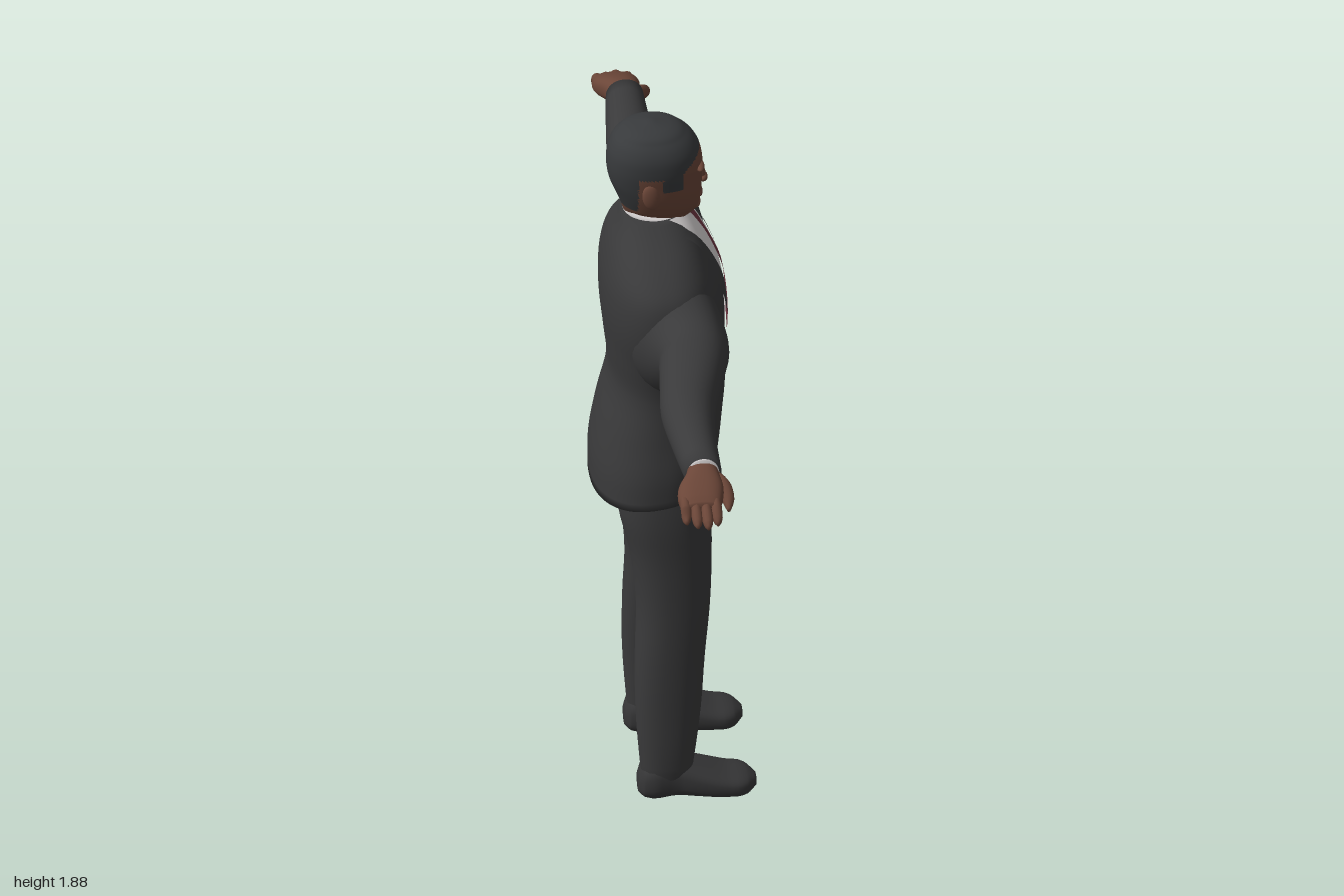
import * as THREE from 'three';

const mat = (name, color) => {
  const m = new THREE.MeshStandardMaterial({ color });
  m.name = name;
  return m;
};

// Smooth interpolation of cross-section rows [w, u0, u1, v0, v1]
function sampler(keys) {
  const c = new THREE.CubicInterpolant(
    new Float32Array(keys.map(k => k[0])), new Float32Array(keys.flatMap(k => k.slice(1))), 4);
  return w => Array.from(c.evaluate(w));
}

// Skin of superellipse rings stacked along an axis; u and v are the next two axes in cyclic order
function loft(keys, axis, { n = 2, seg = 32, sub = 4, side = 1, warp } = {}) {
  const at = sampler(keys), W = 'xyz'.indexOf(axis), U = (W + 1) % 3, V = (W + 2) % 3;
  const pos = [], idx = [];
  const put = (u, v, w) => {
    const p = [0, 0, 0];
    p[U] = u; p[V] = v; p[W] = w;
    if (warp) warp(p);
    pos.push(p[0], p[1], p[2] * side);
  };
  const tri = (a, b, c) => (side > 0 ? idx.push(a, b, c) : idx.push(a, c, b));
  const levels = [];
  keys.forEach((k, i) => {
    if (i) for (let s = 1; s <= sub; s++) levels.push(keys[i - 1][0] + (k[0] - keys[i - 1][0]) * s / sub);
    else levels.push(k[0]);
  });
  const bend = c => Math.sign(c) * Math.abs(c) ** (2 / n);
  for (const w of levels) {
    const [u0, u1, v0, v1] = at(w);
    for (let j = 0; j < seg; j++) {
      const t = j / seg * Math.PI * 2;
      put((u0 + u1) / 2 + (u1 - u0) / 2 * bend(Math.cos(t)),
        (v0 + v1) / 2 + (v1 - v0) / 2 * bend(Math.sin(t)), w);
    }
  }
  const last = levels.length - 1;
  for (let i = 0; i < last; i++) for (let j = 0; j < seg; j++) {
    const a = i * seg + j, b = i * seg + (j + 1) % seg;
    tri(a, b, a + seg);
    tri(b, b + seg, a + seg);
  }
  // End caps
  for (const i of [0, last]) {
    const [u0, u1, v0, v1] = at(levels[i]), c = pos.length / 3;
    put((u0 + u1) / 2, (v0 + v1) / 2, levels[i]);
    for (let j = 0; j < seg; j++) {
      const a = i * seg + j, b = i * seg + (j + 1) % seg;
      i ? tri(a, b, c) : tri(b, a, c);
    }
  }
  return geometry(pos, idx);
}

function geometry(pos, idx) {
  const g = new THREE.BufferGeometry();
  g.setAttribute('position', new THREE.Float32BufferAttribute(pos, 3));
  g.setIndex(idx);
  g.computeVertexNormals();
  return g;
}

// Symmetric section row
const sym = (w, r, v0, v1) => [w, -r, r, v0, v1];

const TORSO = [
  sym(0.87, 0.212, -0.198, 0.105), sym(0.95, 0.212, -0.197, 0.118), sym(1.05, 0.202, -0.18, 0.127),
  sym(1.17, 0.203, -0.152, 0.134), sym(1.27, 0.225, -0.16, 0.132), sym(1.37, 0.25, -0.17, 0.13),
  sym(1.45, 0.252, -0.17, 0.12), sym(1.5, 0.235, -0.163, 0.103), sym(1.55, 0.185, -0.15, 0.08),
  sym(1.6, 0.115, -0.13, 0.052), sym(1.63, 0.075, -0.12, 0.03)];
const TORSO_N = 2.3;

// Thin sheet lying on the chest; rows are [y, zFrom, zTo]
function chestPatch(rows, lift) {
  const at = sampler(TORSO), pos = [], idx = [], nu = 10, nv = 24;
  const y0 = rows[0][0], y1 = rows[rows.length - 1][0];
  for (let i = 0; i <= nv; i++) {
    const y = y0 + (y1 - y0) * i / nv;
    let k = 1;
    while (k < rows.length - 1 && rows[k][0] < y) k++;
    const f = (y - rows[k - 1][0]) / (rows[k][0] - rows[k - 1][0]);
    const [a, b] = [1, 2].map(c => THREE.MathUtils.lerp(rows[k - 1][c], rows[k][c], f));
    const [, r, x0, x1] = at(y);
    for (let j = 0; j <= nu; j++) {
      const z = a + (b - a) * j / nu, q = Math.min(Math.abs(z / r), 0.97);
      pos.push((x0 + x1) / 2 + (x1 - x0) / 2 * (1 - q ** TORSO_N) ** (1 / TORSO_N) + lift, y, z);
    }
  }
  for (let i = 0; i < nv; i++) for (let j = 0; j < nu; j++) {
    const a = i * (nu + 1) + j, c = a + nu + 1;
    idx.push(a, c, a + 1, a + 1, c, c + 1);
  }
  return geometry(pos, idx);
}

// Hair covers the crown, temples and back of the head
function isHair(x, y) {
  if (x > 0.025) return y > 1.775 + (x - 0.025) * 0.7;
  if (x > -0.025) return y > 1.725;
  if (x > -0.085) return y > 1.765;
  return y > 1.655;
}

export function createModel() {
  const model = new THREE.Group();
  model.name = 'suitedMan';
  const suit = mat('charcoal suit', 0x3a3a3b), shoe = mat('dark shoe', 0x363637);
  const skin = mat('brown skin', 0x6b4638), lip = mat('dark lips', 0x5c3830);
  const hair = mat('dark grey hair', 0x383a3c), shirt = mat('white shirt', 0xd6d2d2);
  const tie = mat('burgundy tie', 0x6c3440);
  shirt.side = tie.side = THREE.DoubleSide;
  const add = (name, geo, m) => {
    const mesh = new THREE.Mesh(geo, m);
    mesh.name = name;
    model.add(mesh);
    return mesh;
  };
  const blob = (name, m, p, s, tilt = 0) => {
    const b = add(name, new THREE.SphereGeometry(1, 20, 14), m);
    b.position.set(...p);
    b.scale.set(...s);
    b.rotation.z = tilt;
  };

  // Jacket body with a cutaway front hem
  add('jacket', loft(TORSO, 'y', {
    n: TORSO_N, seg: 96, warp: p => {
      if (p[1] >= 1.12) return;
      let hem = 0.88 + p[0] * 0.13;
      if (p[0] > 0) hem += 0.15 * Math.max(0, 1 - Math.abs(p[2]) / 0.1) ** 1.5;
      p[1] = hem + (p[1] - 0.87) * (1.12 - hem) / 0.25;
    }
  }), suit);

  // Shirt front, tie and lapels
  add('shirtFront', chestPatch([[1.26, 0, 0], [1.4, -0.043, 0.043], [1.5, -0.062, 0.062],
    [1.6, -0.076, 0.076], [1.63, -0.07, 0.07]], 0.004), shirt);
  add('tie', chestPatch([[1.25, -0.002, 0.002], [1.32, -0.03, 0.03], [1.45, -0.023, 0.023],
    [1.57, -0.011, 0.011], [1.575, -0.017, 0.017], [1.62, -0.02, 0.02]], 0.009), tie);
  for (const s of [1, -1]) {
    const rows = [[1.24, 0, 0.006], [1.4, 0.043, 0.105], [1.49, 0.061, 0.128], [1.5, 0.062, 0.1], [1.6, 0.077, 0.1]];
    add('lapel', chestPatch(rows.map(([y, a, b]) => (s > 0 ? [y, a, b] : [y, -b, -a])), 0.007), suit);
  }
  blob('jacketButton', shoe, [0.135, 1.17, 0], [0.004, 0.009, 0.009]);

  // Shirt collar, lower at the front
  add('shirtCollar', loft([sym(1.56, 0.078, -0.118, 0.04), sym(1.6, 0.076, -0.118, 0.042),
    sym(1.645, 0.071, -0.113, 0.036)], 'y', { warp: p => { p[1] -= (p[0] + 0.118) * 0.13; } }), shirt);

  // Neck and head, split into skin and hair by groups
  const head = loft([
    sym(1.56, 0.064, -0.105, 0.01), sym(1.605, 0.064, -0.11, 0.028), sym(1.63, 0.062, -0.114, 0.066),
    sym(1.65, 0.073, -0.12, 0.074), sym(1.69, 0.087, -0.135, 0.078), sym(1.73, 0.094, -0.15, 0.08),
    sym(1.78, 0.099, -0.155, 0.079), sym(1.82, 0.094, -0.148, 0.067), sym(1.85, 0.076, -0.13, 0.042),
    sym(1.87, 0.05, -0.1, 0.008), sym(1.88, 0.008, -0.055, -0.038)], 'y', { n: 2.15, seg: 96, sub: 8 });
  const p = head.attributes.position, src = head.index.array, parts = [[], []];
  for (let i = 0; i < src.length; i += 3) {
    const t = [src[i], src[i + 1], src[i + 2]];
    const mean = f => (f(t[0]) + f(t[1]) + f(t[2])) / 3;
    parts[isHair(mean(k => p.getX(k)), mean(k => p.getY(k))) ? 1 : 0].push(...t);
  }
  head.setIndex([...parts[0], ...parts[1]]);
  head.addGroup(0, parts[0].length, 0);
  head.addGroup(parts[0].length, parts[1].length, 1);
  add('head', head, [skin, hair]);

  // Face details
  blob('nose', skin, [0.077, 1.722, 0], [0.011, 0.03, 0.014], 0.25);
  blob('noseTip', skin, [0.082, 1.707, 0], [0.012, 0.011, 0.019]);
  blob('lips', lip, [0.073, 1.668, 0], [0.008, 0.009, 0.027]);
  blob('chin', skin, [0.062, 1.638, 0], [0.014, 0.015, 0.028]);
  for (const s of [1, -1]) {
    blob('brow', skin, [0.07, 1.763, s * 0.035], [0.012, 0.009, 0.028]);
    blob('ear', skin, [-0.055, 1.715, s * 0.093], [0.022, 0.036, 0.011], 0.15);
  }

  // Hips inside the jacket
  add('trouserTop', loft([sym(0.84, 0.15, -0.12, 0.07), sym(0.9, 0.195, -0.14, 0.085),
    sym(1.08, 0.185, -0.13, 0.09)], 'y', { n: 2.4 }), suit);

  for (const side of [1, -1]) {
    // Sleeve flaring into the shoulder
    add('sleeve', loft([
      [0.12, -0.13, 0.1, 1.2, 1.53], [0.2, -0.115, 0.115, 1.205, 1.51], [0.25, -0.085, 0.117, 1.24, 1.485],
      [0.3, -0.063, 0.112, 1.285, 1.473], [0.36, -0.067, 0.1, 1.318, 1.468], [0.46, -0.077, 0.075, 1.325, 1.465],
      [0.56, -0.086, 0.05, 1.33, 1.46], [0.68, -0.077, 0.036, 1.338, 1.452], [0.83, -0.06, 0.032, 1.348, 1.442]],
    'z', { side, n: 2.1 }), suit);
    add('shirtCuff', loft([[0.8, -0.053, 0.026, 1.354, 1.436], [0.838, -0.053, 0.026, 1.354, 1.436]],
      'z', { side }), shirt);

    // Hand with four fingers and a thumb
    add('palm', loft([[0.8, -0.046, 0.02, 1.365, 1.428], [0.85, -0.06, 0.025, 1.358, 1.428],
      [0.89, -0.082, 0.03, 1.35, 1.418], [0.93, -0.082, 0.022, 1.345, 1.4], [0.95, -0.07, 0.012, 1.352, 1.385]],
    'z', { side, n: 2.4 }), skin);
    [0.972, 0.992, 1, 0.985].forEach((tip, i) => {
      const x = -0.069 + i * 0.025;
      add('finger', loft([[0.91, x - 0.013, x + 0.013, 1.362, 1.396], [0.95, x - 0.013, x + 0.013, 1.352, 1.385],
        [tip - 0.01, x - 0.011, x + 0.011, 1.338, 1.364], [tip, x - 0.004, x + 0.004, 1.34, 1.352]],
      'z', { side, seg: 12 }), skin);
    });
    add('thumb', loft([[0.83, -0.005, 0.02, 1.372, 1.41], [0.865, 0.01, 0.05, 1.355, 1.4],
      [0.9, 0.025, 0.055, 1.342, 1.375], [0.925, 0.034, 0.044, 1.34, 1.352]], 'z', { side, seg: 14 }), skin);

    // Trouser leg and shoe
    add('trouserLeg', loft([
      [0.05, 0.095, 0.198, -0.085, 0.035], [0.1, 0.09, 0.204, -0.09, 0.042], [0.25, 0.08, 0.205, -0.1, 0.06],
      [0.4, 0.06, 0.205, -0.1, 0.071], [0.55, 0.037, 0.205, -0.096, 0.085], [0.7, 0.018, 0.207, -0.112, 0.09],
      [0.82, -0.001, 0.21, -0.138, 0.09], [0.95, -0.01, 0.2, -0.145, 0.09]], 'y', { side, n: 2.3 }), suit);
    add('shoe', loft([
      [-0.095, 0.015, 0.06, 0.125, 0.17], [-0.08, 0.004, 0.095, 0.1, 0.193], [0, 0.006, 0.105, 0.092, 0.2],
      [0.05, 0.004, 0.088, 0.087, 0.207], [0.12, 0, 0.064, 0.085, 0.21], [0.17, 0.003, 0.054, 0.095, 0.2],
      [0.195, 0.015, 0.038, 0.13, 0.168]], 'x', { side, n: 2.7 }), shoe);
  }
  return model;
}
